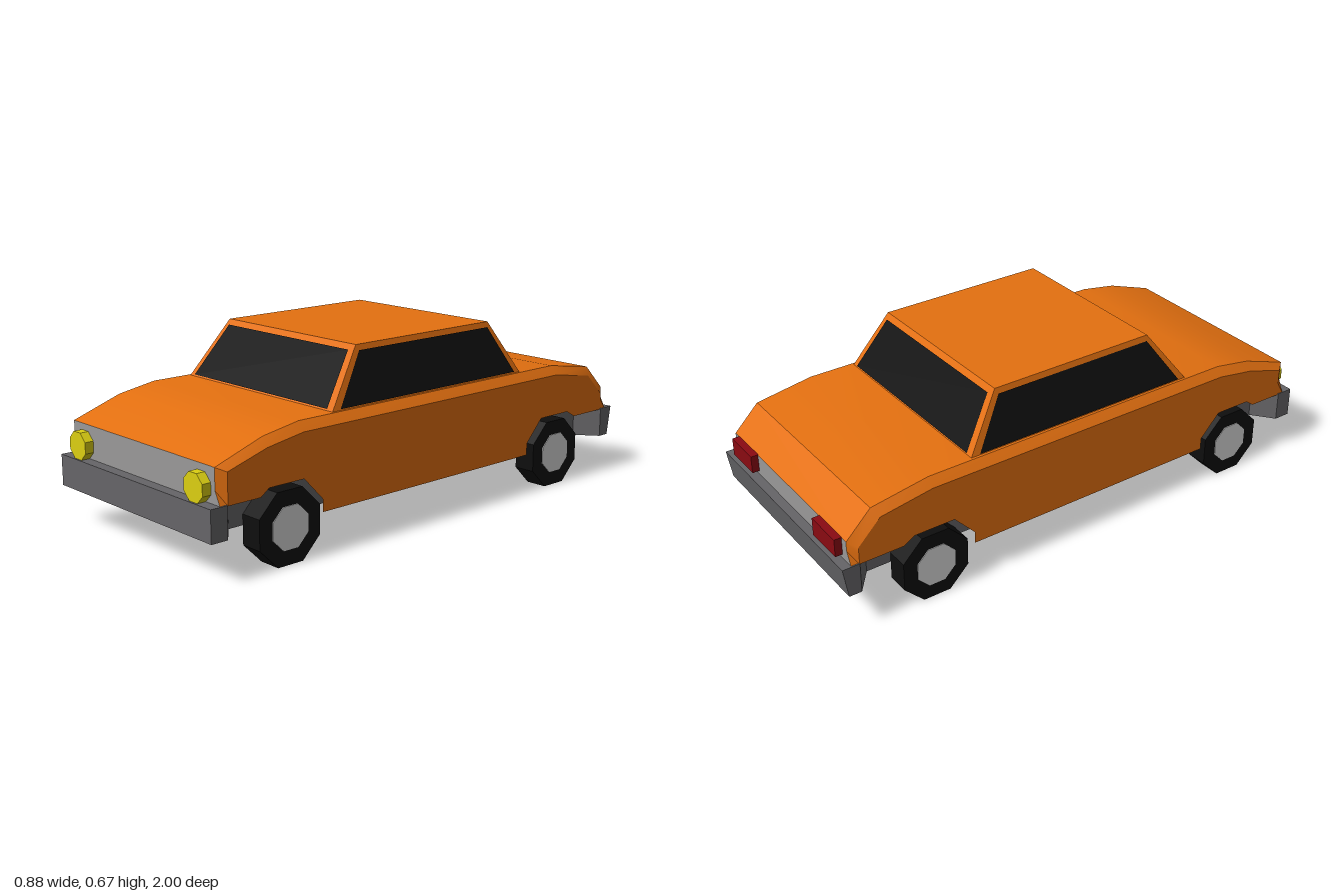
import * as THREE from 'three';
import { toCreasedNormals } from 'three/addons/utils/BufferGeometryUtils.js';

const material = (name, color, side = THREE.FrontSide) => {
  const m = new THREE.MeshStandardMaterial({ color, side });
  m.name = name;
  return m;
};

// Geometry from a list of four-cornered faces, counter-clockwise from outside
function faces(quads) {
  const p = [];
  for (const [a, b, c, d] of quads) p.push(...a, ...b, ...c, ...a, ...c, ...d);
  const g = new THREE.BufferGeometry();
  g.setAttribute('position', new THREE.Float32BufferAttribute(p, 3));
  return toCreasedNormals(g, 0.6);
}

export function createModel() {
  const car = new THREE.Group();
  car.name = 'car';
  const paint = material('orange paint', 0xe47010, THREE.DoubleSide);
  const glass = material('dark glass', 0x101010, THREE.DoubleSide);
  const grey = material('bumper grey', 0x666568);
  const panel = material('light grey panel', 0x9a9999, THREE.DoubleSide);
  const rubber = material('black rubber', 0x0e0e0e);
  const hubGrey = material('hub silver', 0xdadada);
  const yellow = material('headlight yellow', 0xdccf12);
  const red = material('tail light red', 0x8a0a12);

  const add = (name, geometry, mat, x = 0, y = 0, z = 0) => {
    const mesh = new THREE.Mesh(geometry, mat);
    mesh.name = name;
    mesh.position.set(x, y, z);
    car.add(mesh);
    return mesh;
  };

  // Body stations, nose to tail: [inner x, inner y, inner z, outer y, outer z]
  const W = 0.43, N = 0.405;
  const stations = [
    [W, 0.25, 0.96, 0.25, 0.93], [N, 0.3, 0.96, 0.3, 0.93],
    [N, 0.375, 0.96, 0.36, 0.93], [N, 0.44, 0.77, 0.408, 0.77],
    [N, 0.465, 0.62, 0.432, 0.62], [N, 0.465, -0.65, 0.432, -0.65],
    [N, 0.43, -0.87, 0.4, -0.85], [N, 0.335, -0.965, 0.315, -0.935],
    [N, 0.3, -0.965, 0.29, -0.935], [W, 0.25, -0.965, 0.25, -0.935],
  ];
  const inner = (i, s) => [s * stations[i][0], stations[i][1], stations[i][2]];
  const outer = (i, s) => [s * W, stations[i][3], stations[i][4]];
  const across = i => [inner(i, 1), inner(i + 1, 1), inner(i + 1, -1), inner(i, -1)];

  // Bonnet, deck and chamfered shoulders
  const skin = [];
  for (let i = 0; i < stations.length - 1; i++) {
    if (i >= 2 && i < 7) skin.push(across(i));
    for (const s of [1, -1]) {
      const q = [outer(i, s), outer(i + 1, s), inner(i + 1, s), inner(i, s)];
      skin.push(s > 0 ? q : q.reverse());
    }
  }
  add('bodyShell', faces(skin), paint);
  add('frontPanel', faces([across(0), across(1)]), panel);
  add('rearPanel', faces([across(7), across(8)]), panel);

  // Side walls with wheel arches, as (z, y) outlines
  const arches = [
    [-0.77, 0.25], [-0.725, 0.275], [-0.57, 0.275], [-0.49, 0.19], [-0.49, 0.145],
    [0.54, 0.145], [0.54, 0.19], [0.62, 0.275], [0.765, 0.275], [0.8, 0.25],
  ];
  const outline = [...stations.map(t => [t[4], t[3]]), ...arches];
  for (const s of [1, -1]) {
    const shape = new THREE.Shape(outline.map(([z, y]) => new THREE.Vector2(-s * z, y)));
    const wall = new THREE.ShapeGeometry(shape).rotateY(s * Math.PI / 2);
    add(s > 0 ? 'leftSide' : 'rightSide', wall, paint, s * W);
  }

  // Cabin: four sloping sides and a roof
  const low = [[-0.395, 0.465, 0.465], [0.395, 0.465, 0.465], [0.395, 0.465, -0.475], [-0.395, 0.465, -0.475]];
  const high = [[-0.345, 0.665, 0.315], [0.345, 0.665, 0.315], [0.345, 0.665, -0.345], [-0.345, 0.665, -0.345]];
  const sides = low.map((p, i) => [p, low[(i + 1) % 4], high[(i + 1) % 4], high[i]]);
  add('cabin', faces([...sides, high]), paint);

  // Windows: inset plates just proud of each cabin side
  const windowNames = ['windscreen', 'leftWindow', 'rearWindow', 'rightWindow'];
  sides.forEach((side, i) => {
    const [a, b, c, d] = side.map(p => new THREE.Vector3(...p));
    const normal = b.clone().sub(a).cross(d.clone().sub(a)).setLength(0.004);
    const at = (u, v) => a.clone().lerp(b, u).lerp(d.clone().lerp(c, u), v).add(normal).toArray();
    const u = 0.033;
    add(windowNames[i], faces([[at(u, 0.02), at(1 - u, 0.02), at(1 - u, 0.9), at(u, 0.9)]]), glass);
  });

  // Chassis tray and wrapped bumpers
  add('chassis', new THREE.BoxGeometry(0.7, 0.11, 1.78), grey, 0, 0.197, 0);
  const plan = [[W + 0.003, -1], [W + 0.003, -0.935], [0.35, -0.87], [-0.35, -0.87], [-W - 0.003, -0.935], [-W - 0.003, -1]];
  for (const s of [1, -1]) {
    const shape = new THREE.Shape(plan.map(p => new THREE.Vector2(...p)));
    const g = new THREE.ExtrudeGeometry(shape, { depth: 0.113, bevelEnabled: false }).rotateX(-Math.PI / 2);
    if (s < 0) {
      // Rear bumper leans in at its foot
      g.rotateY(Math.PI);
      const p = g.attributes.position;
      for (let i = 0; i < p.count; i++) if (p.getZ(i) < -0.95 && p.getY(i) < 0.05) p.setZ(i, -0.982);
      g.computeVertexNormals();
    }
    add(s > 0 ? 'frontBumper' : 'rearBumper', g, grey, 0, 0.141, 0);
  }

  // Octagonal drums for wheels, hubs and lamps
  const octagon = (apothem, depth) => toCreasedNormals(
    new THREE.CylinderGeometry(apothem / Math.cos(Math.PI / 8), apothem / Math.cos(Math.PI / 8), depth, 8, 1, false, Math.PI / 8), 0.4);

  for (const s of [1, -1]) {
    const hand = s > 0 ? 'left' : 'right';
    for (const [end, z] of [['Front', 0.685], ['Rear', -0.65]]) {
      add(hand + end + 'Tyre', octagon(0.127, 0.085).rotateZ(Math.PI / 2), rubber, s * 0.3925, 0.127, z);
      add(hand + end + 'Hub', octagon(0.074, 0.008).rotateZ(Math.PI / 2), hubGrey, s * 0.434, 0.127, z);
    }
    add(hand + 'Headlight', octagon(0.049, 0.04).rotateX(Math.PI / 2), yellow, s * 0.335, 0.302, 0.973);
    add(hand + 'TailLight', new THREE.BoxGeometry(0.15, 0.067, 0.04), red, s * 0.3, 0.303, -0.972);
  }
  return car;
}
